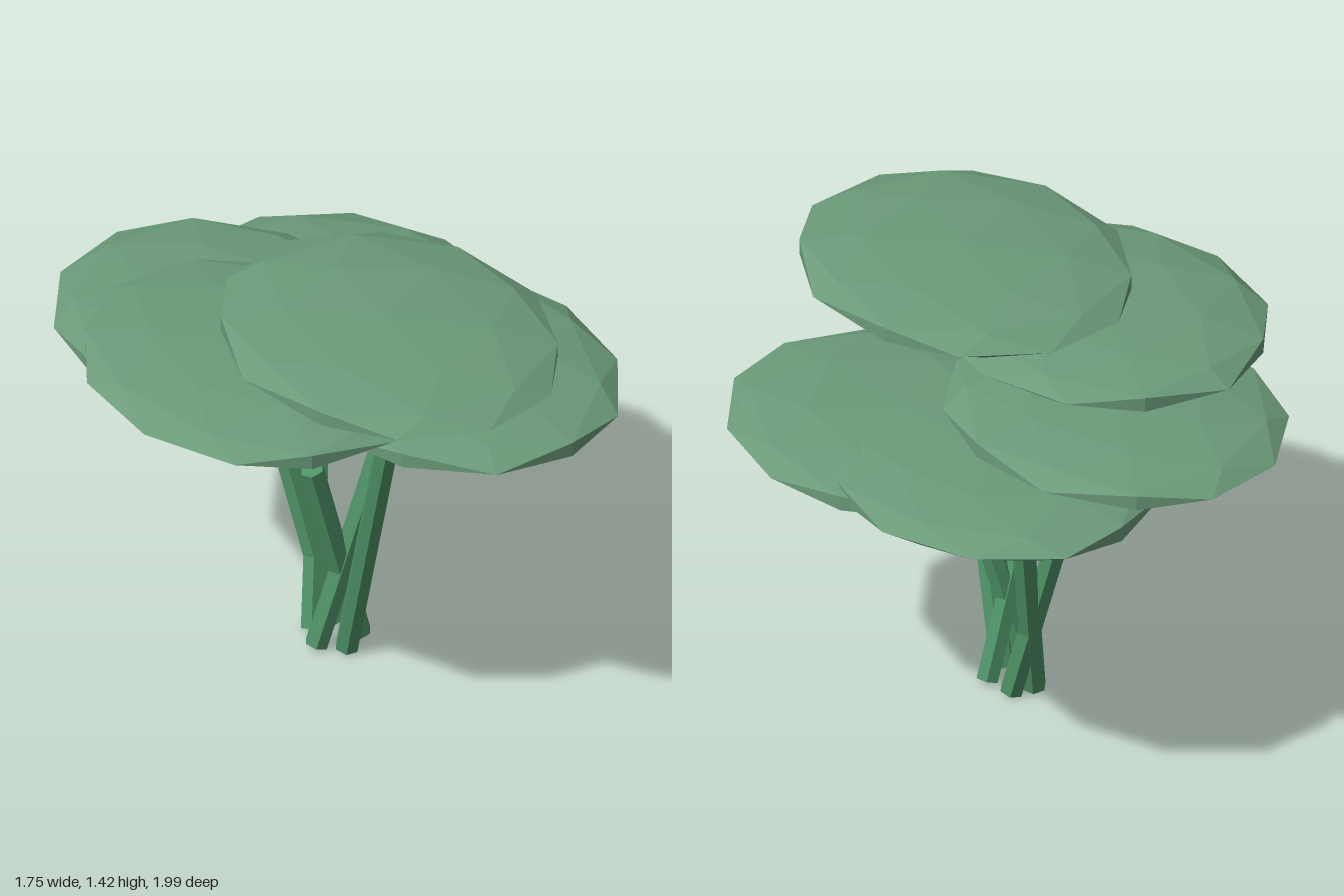
import * as THREE from 'three';

const leafMaterial = new THREE.MeshStandardMaterial({ color: 0x6b9a7a, flatShading: true });
const stemMaterial = new THREE.MeshStandardMaterial({ color: 0x4f9468, flatShading: true });

// Hexagonal rod between two points
function makeStem(from, to) {
  const a = new THREE.Vector3(...from);
  const b = new THREE.Vector3(...to);
  const direction = b.clone().sub(a);
  const geometry = new THREE.CylinderGeometry(0.04, 0.04, direction.length(), 6);
  geometry.rotateY(Math.PI / 6);
  const stem = new THREE.Mesh(geometry, stemMaterial);
  stem.position.copy(a).add(b).multiplyScalar(0.5);
  stem.quaternion.setFromUnitVectors(new THREE.Vector3(0, 1, 0), direction.normalize());
  stem.name = 'stem';
  return stem;
}

// Flattened faceted pad, its facets turned to face outward on the ring
function makeLeafPad(angle, height) {
  const geometry = new THREE.IcosahedronGeometry(1, 1);
  geometry.rotateY(-angle);
  geometry.scale(0.535, 0.08, 0.66);
  geometry.computeVertexNormals();
  const pad = new THREE.Mesh(geometry, leafMaterial);
  const ring = 0.373;
  pad.position.set(ring * Math.cos(angle), height, ring * Math.sin(angle) - 0.033);
  pad.name = 'leafPad';
  return pad;
}

export function createModel() {
  const model = new THREE.Group();
  model.name = 'plant';

  // Five pads spaced around a ring, from the high front one downward
  const pads = new THREE.Group();
  pads.name = 'leafPads';
  [1.335, 1.195, 1.075, 0.975, 0.957].forEach((height, i) => {
    pads.add(makeLeafPad(Math.PI / 2 + (i * Math.PI * 2) / 5, height));
  });
  model.add(pads);

  // Five leaning stems, the side ones crossing near the base
  const stems = new THREE.Group();
  stems.name = 'stems';
  [
    [[0, 0.012, 0.06], [0, 1.08, 0.375]],
    [[0.078, 0.012, 0], [-0.125, 0.715, 0.055]],
    [[0.04, 0.01, -0.1], [-0.083, 0.74, -0.27]],
    [[-0.04, 0.01, -0.1], [0.1, 0.835, -0.295]],
    [[-0.078, 0.012, 0], [0.185, 0.94, 0.083]],
  ].forEach(([from, to]) => stems.add(makeStem(from, to)));
  model.add(stems);

  return model;
}
